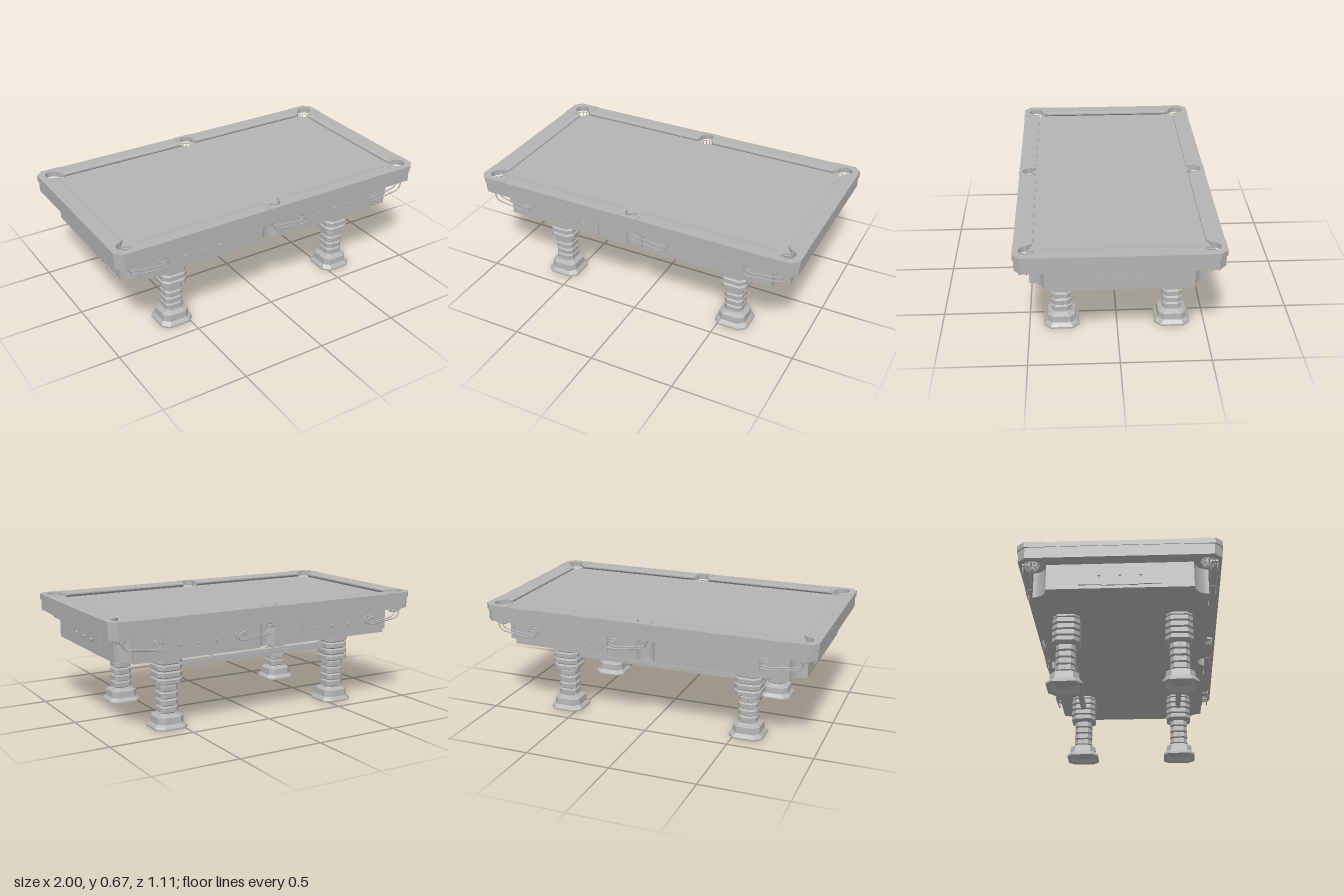
import * as THREE from 'three';
import { toCreasedNormals } from 'three/addons/utils/BufferGeometryUtils.js';

const CORNER = { x: 0.918, z: 0.478 }, SIDE_Z = 0.495; // pocket centres

export function createModel() {
  const model = new THREE.Group();
  model.name = 'billiardTable';
  const grey = new THREE.MeshStandardMaterial({ color: 0xb4b4b4 });
  grey.name = 'grey';

  const add = (name, geo, x = 0, y = 0, z = 0, parent = model) => {
    const mesh = new THREE.Mesh(geo, grey);
    mesh.name = name;
    mesh.position.set(x, y, z);
    parent.add(mesh);
    return mesh;
  };
  const v2 = (x, z) => new THREE.Vector2(x, z);
  const arc = (cx, cz, r, a0, a1, n) => Array.from({ length: n + 1 }, (_, i) => {
    const a = a0 + (a1 - a0) * i / n;
    return v2(cx + r * Math.cos(a), cz + r * Math.sin(a));
  });
  // Plan outline extruded between two heights
  const slab = (pts, y0, y1, hole) => {
    const shape = new THREE.Shape(pts);
    if (hole) shape.holes.push(new THREE.Path(hole));
    const geo = new THREE.ExtrudeGeometry(shape, { depth: y1 - y0, bevelEnabled: false });
    geo.rotateX(Math.PI / 2).translate(0, y1, 0);
    return toCreasedNormals(geo, 0.6);
  };
  const chamferedRect = (hx, hz, c) => [
    v2(hx - c, hz), v2(hx, hz - c), v2(hx, c - hz), v2(hx - c, -hz),
    v2(c - hx, -hz), v2(-hx, c - hz), v2(-hx, hz - c), v2(c - hx, hz)];
  // Rectangle with round bites at the six pockets, cut inwards or bulging outwards
  const pocketOutline = (hx, hz, cr, sr, inward) => {
    const as = Math.asin((hz - SIDE_Z) / sr);
    const a0 = Math.PI - Math.asin((hz - CORNER.z) / cr);
    const a1 = -Math.acos((hx - CORNER.x) / cr);
    const q = [
      ...arc(0, SIDE_Z, sr, inward ? -Math.PI / 2 : Math.PI / 2, as, 8),
      ...arc(CORNER.x, CORNER.z, cr, a0, inward ? a1 + 2 * Math.PI : a1, 16)];
    const back = q.slice(1).reverse();
    const flip = (list, sx, sz) => list.map(p => v2(p.x * sx, p.y * sz));
    return [...q, ...flip(back, 1, -1), ...flip(q, -1, -1), ...flip(back, -1, 1)];
  };

  // Rails, apron, bed and body
  const opening = pocketOutline(0.922, 0.484, 0.045, 0.04, false);
  add('topRail', slab(chamferedRect(0.998, 0.552, 0.04), 0.642, 0.671, opening));
  add('apron', slab(chamferedRect(0.994, 0.548, 0.04), 0.575, 0.642, opening));
  add('bed', slab(pocketOutline(0.922, 0.484, 0.045, 0.04, true), 0.575, 0.645));
  add('body', slab(pocketOutline(0.92, 0.477, 0.08, 0.058, true), 0.423, 0.576));

  // Pocket castings set over the rail
  const cornerShape = [
    v2(0.84, 0.554), v2(0.96, 0.554), v2(1, 0.514), v2(1, 0.4), v2(0.922, 0.4),
    ...arc(CORNER.x, CORNER.z, 0.044, -1.48, Math.PI - 0.13, 16), v2(0.84, 0.484)];
  const sideShape = [
    v2(-0.055, 0.554), v2(0.055, 0.554), v2(0.055, 0.484),
    ...arc(0, SIDE_Z, 0.039, -0.28, Math.PI + 0.28, 14), v2(-0.055, 0.484)];
  for (const sz of [1, -1]) {
    add('sideCasting', slab(sideShape.map(p => v2(p.x, p.y * sz)), 0.64, 0.673));
    for (const sx of [1, -1])
      add('cornerCasting', slab(cornerShape.map(p => v2(p.x * sx, p.y * sz)), 0.64, 0.673));
  }

  // Cushions: undercut profile with mitred ends
  const cushion = (t0, t1, m0, m1) => {
    const profile = new THREE.Shape([v2(0, 0.644), v2(0.012, 0.644), v2(0.031, 0.659), v2(0.031, 0.667), v2(0, 0.671)]);
    const geo = new THREE.ExtrudeGeometry(profile, { depth: t1 - t0, bevelEnabled: false });
    const p = geo.attributes.position;
    for (let i = 0; i < p.count; i++) {
      const u = p.getX(i), end = p.getZ(i) > (t1 - t0) / 2;
      p.setZ(i, end ? t1 - u * m1 : t0 + u * m0);
    }
    geo.computeVertexNormals();
    return geo;
  };
  for (const turn of [0, Math.PI]) {
    const half = new THREE.Group();
    half.name = 'cushions';
    half.rotation.y = turn;
    model.add(half);
    add('longCushion', cushion(0.04, 0.873, 0.5, 1).rotateY(Math.PI / 2), 0, 0, 0.484, half);
    add('longCushion', cushion(-0.873, -0.04, 1, 0.5).rotateY(Math.PI / 2), 0, 0, 0.484, half);
    add('endCushion', cushion(-0.433, 0.433, 1, 1).rotateY(Math.PI), 0.922, 0, 0, half);
  }

  // Diamond inlays; the axis is the direction they face
  const diamond = (x, y, z, axis, r = 0.01) => {
    const geo = new THREE.CylinderGeometry(r * 0.7, r, 0.006, 4).toNonIndexed();
    geo.computeVertexNormals();
    if (axis === 'z') geo.rotateX(Math.PI / 2);
    if (axis === 'x') geo.rotateZ(Math.PI / 2);
    if ((axis === 'z' && z < 0)) geo.rotateY(Math.PI);
    if ((axis === 'x' && x > 0)) geo.rotateY(Math.PI);
    add('diamond', geo, x, y, z);
  };

  for (const s of [1, -1]) {
    for (const x of [0.22, 0.443, 0.665]) {
      diamond(x, 0.671, 0.514 * s, 'y');
      diamond(-x, 0.671, 0.514 * s, 'y');
    }
    for (const z of [-0.225, 0, 0.225]) diamond(0.96 * s, 0.671, z, 'y');
    // Raised panels on the body
    for (const sx of [1, -1]) {
      add('sidePanel', new THREE.BoxGeometry(0.435, 0.115, 0.014), 0.452 * sx, 0.502, 0.477 * s);
      for (const d of [-0.112, 0, 0.112]) diamond((0.452 + d) * sx, 0.5, 0.486 * s, 'z');
    }
    add('endPanel', new THREE.BoxGeometry(0.014, 0.113, 0.444), 0.92 * s, 0.5, 0);
    add('endPanelCentre', new THREE.BoxGeometry(0.016, 0.121, 0.2), 0.919 * s, 0.5, 0);
    for (const z of [-0.112, 0, 0.112]) diamond(0.93 * s, 0.5, z, 'x');
  }

  // Net baskets: rings joined by strands
  const netProfile = [[0.044, 0.63], [0.044, 0.595], [0.04, 0.57], [0.03, 0.552], [0.015, 0.543]];
  const net = (x, z, k) => {
    const basket = new THREE.Group();
    basket.name = 'pocketNet';
    basket.position.set(x, 0, z);
    model.add(basket);
    for (const [r, y] of netProfile)
      add('netRing', new THREE.TorusGeometry(r * k, 0.0025, 5, 20).rotateX(Math.PI / 2), 0, y, 0, basket);
    for (let i = 0; i < 12; i++) {
      const a = i * Math.PI / 6;
      const path = new THREE.CatmullRomCurve3([...netProfile, [0.001, 0.541]].map(([r, y]) =>
        new THREE.Vector3(r * k * Math.cos(a), y, r * k * Math.sin(a))));
      add('netStrand', new THREE.TubeGeometry(path, 10, 0.0022, 4), 0, 0, 0, basket);
    }
  };
  // Wire ball rack: a pair of wires hanging from a pocket and curling at the end
  const rackSide = [[0, 0.572], [0.002, 0.545], [0.018, 0.518], [0.06, 0.508], [0.13, 0.5],
    [0.205, 0.492], [0.234, 0.501], [0.238, 0.522], [0.223, 0.536], [0.195, 0.533]];
  const rack = (x, dir, sz) => {
    const wire = w => rackSide.map(([d, y]) => new THREE.Vector3(x + dir * d, y, sz * (0.505 + w)));
    const path = new THREE.CatmullRomCurve3([...wire(0.018), ...wire(-0.018).reverse()], true, 'centripetal');
    add('ballRack', new THREE.TubeGeometry(path, 120, 0.004, 6, true));
    add('rackBracket', new THREE.BoxGeometry(0.03, 0.012, 0.045), x, 0.57, sz * 0.505);
  };
  for (const sz of [1, -1]) {
    net(0, SIDE_Z * sz, 0.88);
    rack(-0.018, 1, sz);
    for (const sx of [1, -1]) {
      net(CORNER.x * sx, CORNER.z * sz, 1);
      rack(0.922 * sx, -sx, sz);
    }
  }

  // Legs: stacked chamfered-square blocks with a hollow foot
  const legProfile = [[0, 0.03], [0.06, 0.024], [0.08, 0], [0.1, 0], [0.1, 0.01], [0.093, 0.019],
    [0.082, 0.03], [0.079, 0.068], [0.056, 0.08], [0.054, 0.084]];
  for (const y of [0.105, 0.146, 0.188, 0.23])
    legProfile.push([0.043, y - 0.021], [0.054, y - 0.014], [0.054, y + 0.014], [0.043, y + 0.021]);
  legProfile.push([0.058, 0.252], [0.077, 0.262], [0.077, 0.283], [0.067, 0.29]);
  for (const y of [0.311, 0.35, 0.389])
    legProfile.push([0.067, y - 0.019], [0.077, y - 0.012], [0.077, y + 0.012], [0.067, y + 0.019]);
  legProfile.push([0.074, 0.412], [0.074, 0.425]);
  const lathe = new THREE.LatheGeometry(
    legProfile.map(([r, y]) => v2(r / Math.cos(Math.PI / 8), y)), 8, Math.PI / 8);
  const lp = lathe.attributes.position;
  for (let i = 0; i < lp.count; i++) { // widen the four main faces
    const x = lp.getX(i), z = lp.getZ(i);
    if (Math.abs(x) < Math.abs(z)) lp.setX(i, x * 1.5);
    else lp.setZ(i, z * 1.5);
  }
  const legGeo = lathe.toNonIndexed();
  legGeo.computeVertexNormals();
  for (const sz of [1, -1]) {
    for (const sx of [1, -1]) {
      add('leg', legGeo, 0.572 * sx, 0, 0.316 * sz);
      for (const y of [0.105, 0.146, 0.188, 0.23]) {
        for (const s of [1, -1]) {
          const g = new THREE.CylinderGeometry(0.007, 0.007, 0.006, 4);
          add('legStud', g.clone().rotateX(Math.PI / 2), 0.572 * sx, y, 0.316 * sz + 0.054 * s);
          add('legStud', g.clone().rotateZ(Math.PI / 2), 0.572 * sx + 0.054 * s, y, 0.316 * sz);
        }
      }
    }
    // Stretchers between each pair of legs
    add('stretcher', new THREE.BoxGeometry(1.02, 0.04, 0.022), 0, 0.35, 0.316 * sz);
    add('stretcherRidge', new THREE.BoxGeometry(1.02, 0.018, 0.034), 0, 0.35, 0.316 * sz);
  }
  return model;
}
